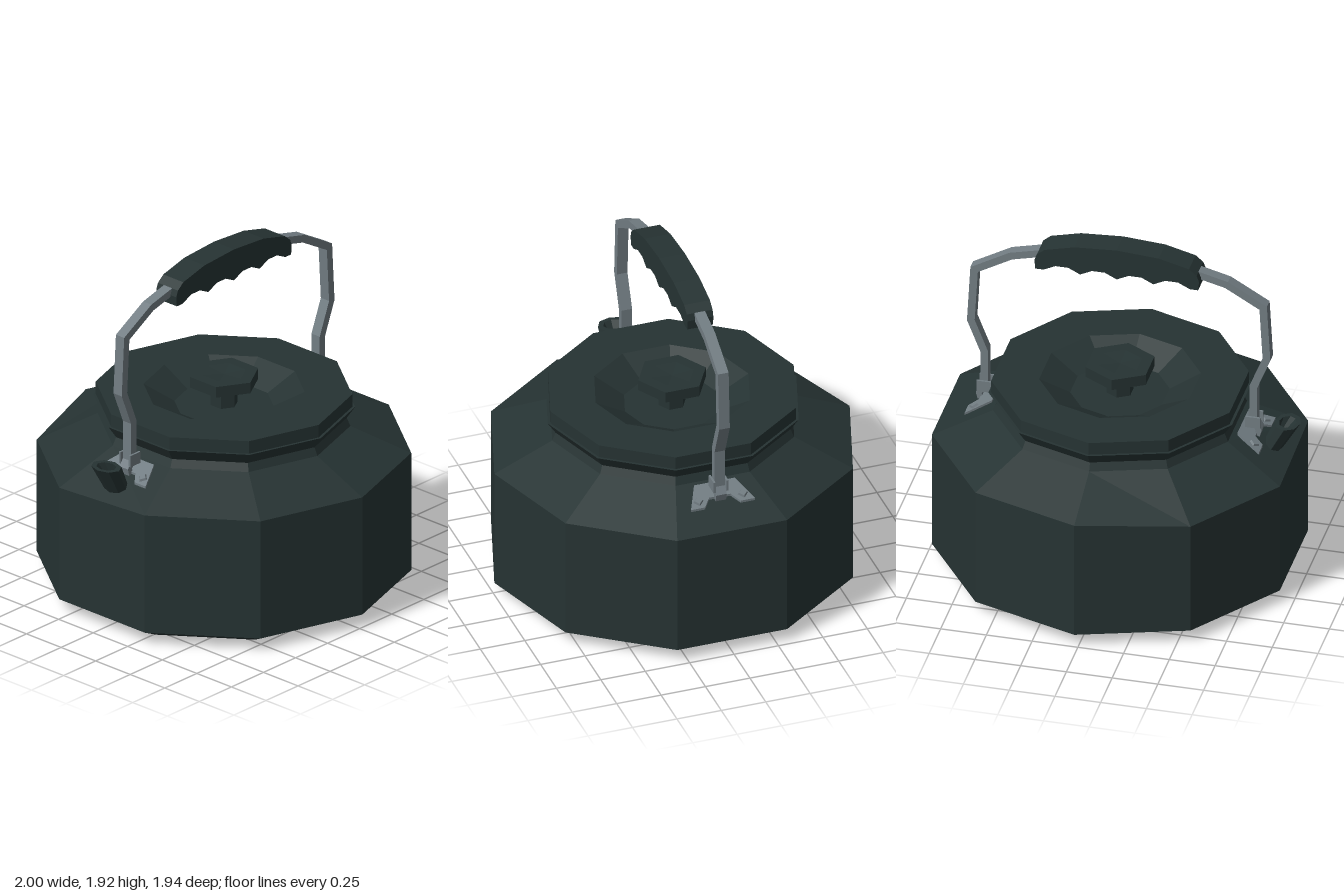
import * as THREE from 'three';

const enamel = new THREE.MeshStandardMaterial({ name: 'dark green enamel', color: 0x263333, flatShading: true });
const steel = new THREE.MeshStandardMaterial({ name: 'grey steel', color: 0x727d83, flatShading: true });

const V = (p) => p.map(([x, y]) => new THREE.Vector2(x, y));

function part(name, geometry, material, parent) {
  const mesh = new THREE.Mesh(geometry, material);
  mesh.name = name;
  parent.add(mesh);
  return mesh;
}

// Faceted turning with a corner on the x axis
const turned = (profile, sides) => new THREE.LatheGeometry(V(profile), sides, Math.PI / 2);

// Extrude a side outline of [z, y] points across x, centred
function sideExtrude(outline, width) {
  const g = new THREE.ExtrudeGeometry(new THREE.Shape(V(outline)), { depth: width, bevelEnabled: false });
  return g.rotateY(-Math.PI / 2).translate(width / 2, 0, 0);
}

// Outline of a strip of constant thickness along a path
function strip(path, thickness) {
  const pts = V(path), a = [], b = [];
  pts.forEach((p, i) => {
    const d1 = p.clone().sub(pts[Math.max(i - 1, 0)]).normalize();
    const d2 = pts[Math.min(i + 1, pts.length - 1)].clone().sub(p).normalize();
    const d = d1.clone().add(d2).normalize();
    const ref = d2.lengthSq() > 0 ? d2 : d1;
    const h = thickness / 2 / d.dot(ref);
    a.push([p.x - d.y * h, p.y + d.x * h]);
    b.unshift([p.x + d.y * h, p.y - d.x * h]);
  });
  return [...a, ...b];
}

// Move vertices by a rule
function bend(g, rule) {
  const p = g.attributes.position, v = new THREE.Vector3();
  for (let i = 0; i < p.count; i++) {
    rule(v.fromBufferAttribute(p, i));
    p.setXYZ(i, v.x, v.y, v.z);
  }
  g.computeVertexNormals();
  return g;
}

const shoulderY = (z) => 0.76 + (0.951 - z) * 0.453;

// Riveted plate with a pivot lug, lying on the shoulder
function bracket() {
  const group = new THREE.Group();
  group.name = 'handleBracket';
  const outline = [[-0.115, 0.67], [0.115, 0.67], [0.18, 0.805], [0.1, 0.805], [0.06, 0.755],
    [-0.06, 0.755], [-0.1, 0.805], [-0.18, 0.805]];
  const plate = new THREE.ExtrudeGeometry(new THREE.Shape(V(outline)), { depth: 0.015, bevelEnabled: false });
  plate.rotateX(Math.PI / 2);
  part('bracketPlate', bend(plate, (v) => { v.y += shoulderY(v.z) + 0.013; }), steel, group);
  for (const s of [-1, 1]) {
    const rivet = new THREE.CylinderGeometry(0.022, 0.03, 0.014, 4);
    rivet.rotateX(Math.atan(0.453)).translate(s * 0.125, shoulderY(0.768) + 0.018, 0.768);
    part('rivet', rivet, steel, group);
    part('pivotCheek', new THREE.BoxGeometry(0.012, 0.065, 0.08).translate(s * 0.036, 0.93, 0.735), steel, group);
  }
  const stem = sideExtrude(strip([[0.755, 0.84], [0.765, 0.88], [0.74, 0.92]], 0.03), 0.06);
  part('pivotStem', stem, steel, group);
  return group;
}

export function createModel() {
  const model = new THREE.Group();
  model.name = 'kettle';
  const kettle = new THREE.Group();
  kettle.name = 'kettleParts';
  kettle.position.z = -0.02;
  model.add(kettle);

  // Ten-sided pot, with one slightly dented front edge
  const pot = turned([[0, 0], [0.85, 0], [1, 0.075], [1, 0.76], [0.675, 0.9], [0.655, 0.945],
    [0.7, 1.012], [0.6, 1.012]], 10);
  bend(pot, (v) => { if (Math.abs(v.y - 0.76) < 0.01 && v.z > 0.5 && v.x < 0) v.y -= 0.033; });
  part('pot', pot, enamel, kettle);

  // Lid with sunken middle, and its knob
  part('lid', turned([[0.6, 1.012], [0.685, 1.012], [0.685, 1.085], [0.43, 1.085], [0.265, 0.995], [0, 0.995]], 10),
    enamel, kettle);
  part('lidKnob', turned([[0.075, 0.99], [0.075, 1.08], [0.1, 1.113], [0.19, 1.113], [0.19, 1.175],
    [0.12, 1.175], [0, 1.165]], 6), enamel, kettle);

  // Slanted open spout with a level rim
  const spout = turned([[0.07, 0], [0.09, 0.2], [0.06, 0.2], [0, 0.06]], 8);
  bend(spout, (v) => { v.z = v.z * 0.78 + 0.813 + v.y * 0.52; v.y += 0.738; });
  part('spout', spout, enamel, kettle);

  // Bent handle strap
  const half = [[0.735, 0.9], [0.735, 1.145], [0.808, 1.33], [0.79, 1.65], [0.59, 1.765], [0.42, 1.808]];
  const path = [...half, ...half.map(([z, y]) => [-z, y]).reverse()];
  part('handleStrap', sideExtrude(strip(path, 0.042), 0.06), steel, kettle);

  // Grip with four finger hollows underneath
  const grip = [[0.45, 1.79], [0.437, 1.825], [0.395, 1.86], [0.23, 1.902], [0, 1.917],
    [-0.23, 1.902], [-0.395, 1.86], [-0.437, 1.825], [-0.45, 1.79], [-0.445, 1.736]];
  for (let i = 0; i < 4; i++) {
    const z = -0.4 + i * 0.2;
    grip.push([z, 1.736], [z + 0.065, 1.768], [z + 0.135, 1.768]);
  }
  grip.push([0.4, 1.736], [0.445, 1.736]);
  part('grip', sideExtrude(grip, 0.145), enamel, kettle);

  // Front and back brackets
  const back = bracket();
  back.rotation.y = Math.PI;
  kettle.add(bracket(), back);

  return model;
}
